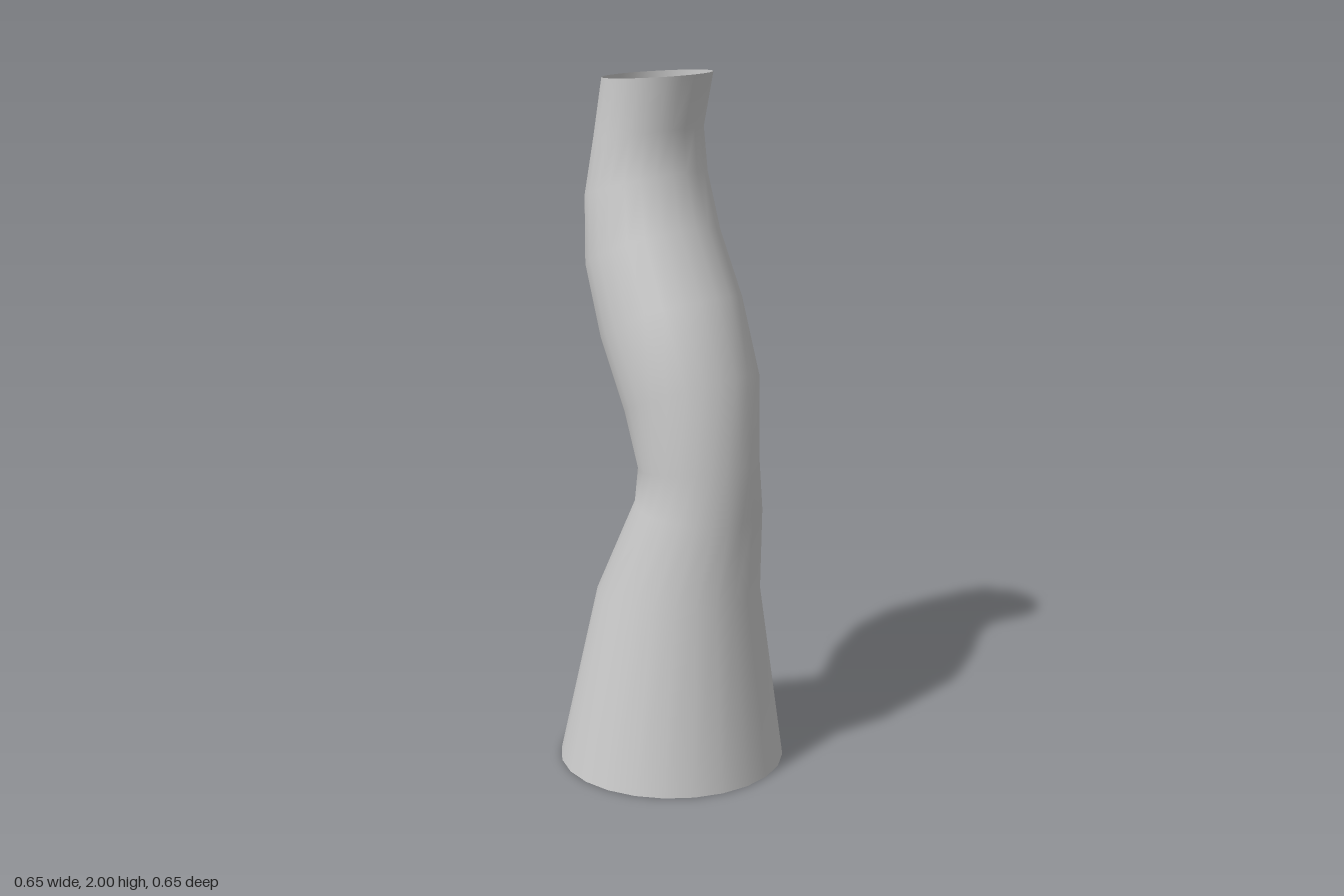
import * as THREE from 'three';
import { mergeVertices } from 'three/addons/utils/BufferGeometryUtils.js';

// Tilted circular rings, bottom to top: front edge z, y; back edge z, y
const RINGS = [
  [0.327, 0, -0.327, 0],
  [0.265, 0.53, -0.205, 0.515],
  [0.295, 0.78, -0.065, 0.807],
  [0.285, 0.935, -0.056, 0.893],
  [0.265, 1.19, -0.095, 1.035],
  [0.187, 1.40, -0.19, 1.23],
  [0.1, 1.58, -0.262, 1.43],
  [0.06, 1.73, -0.277, 1.63],
  [0.055, 1.85, -0.25, 1.80],
  [0.094, 2.0, -0.213, 1.975],
];

export function createModel() {
  const group = new THREE.Group();
  group.name = 'bentTube';

  // Open cylinder whose rows are moved onto the tilted rings
  const sides = 24;
  const rows = RINGS.length - 1;
  let geometry = new THREE.CylinderGeometry(1, 1, 1, sides, rows, true);
  const pos = geometry.attributes.position;
  for (let i = 0; i < pos.count; i++) {
    const [fz, fy, bz, by] = RINGS[rows - Math.floor(i / (sides + 1))];
    const radius = Math.hypot(fz - bz, fy - by) / 2;
    const t = (pos.getZ(i) + 1) / 2; // 0 at the back, 1 at the front
    pos.setXYZ(i, pos.getX(i) * radius, by + (fy - by) * t, bz + (fz - bz) * t);
  }

  // Weld the seam for continuous smooth shading
  geometry.deleteAttribute('uv');
  geometry.deleteAttribute('normal');
  geometry = mergeVertices(geometry, 1e-5);
  geometry.computeVertexNormals();

  const tube = new THREE.Mesh(
    geometry,
    new THREE.MeshStandardMaterial({ color: 0xcccccc, side: THREE.DoubleSide })
  );
  tube.name = 'flaredTubeWall';
  group.add(tube);
  return group;
}
